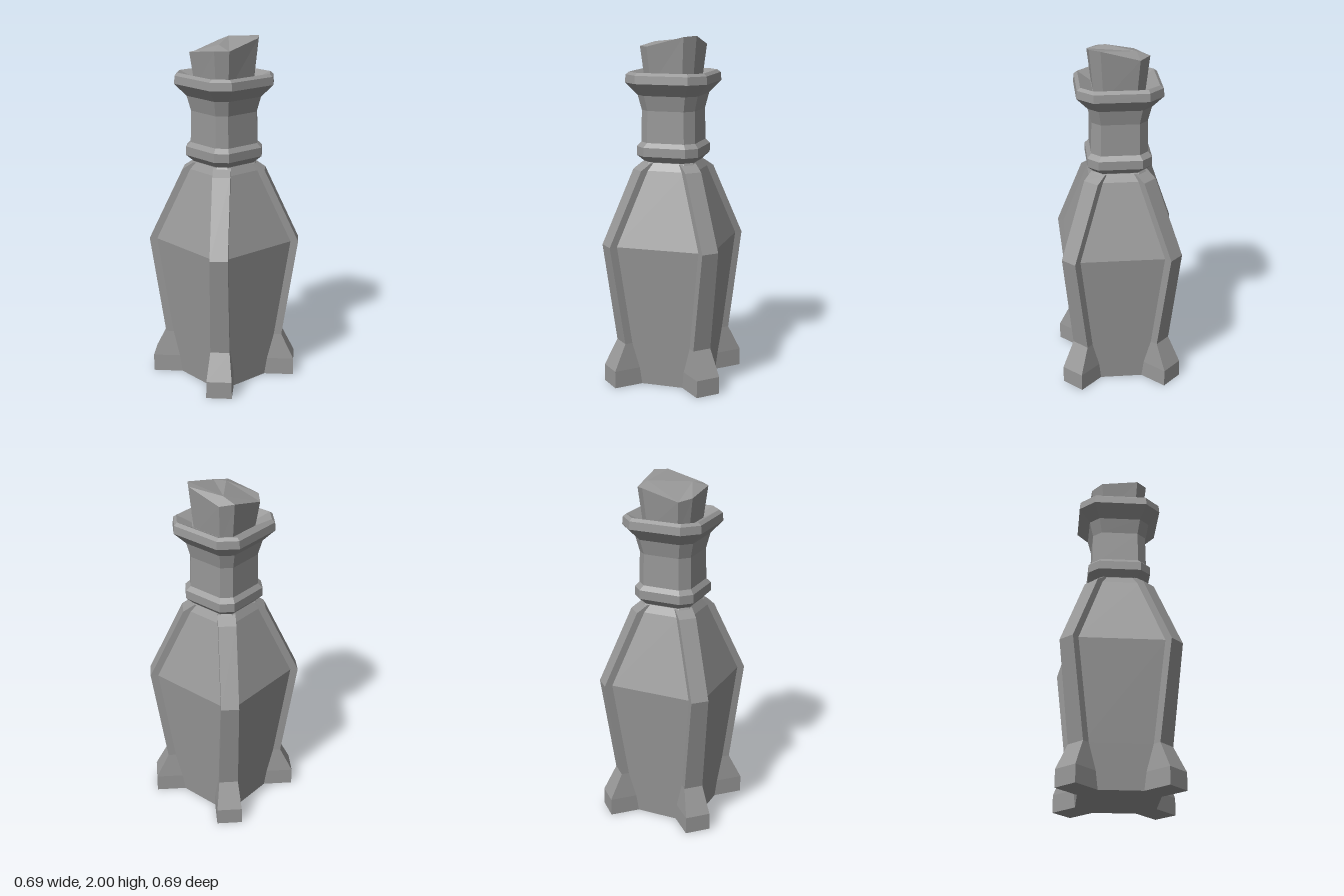
import * as THREE from 'three';

const material = new THREE.MeshStandardMaterial({ color: 0x979797, flatShading: true });

// Skins a stack of rings (each counter-clockwise from above) and caps both ends with fans.
function loft(name, rings) {
  const pos = [];
  const n = rings[0].length;
  const triangle = new THREE.Triangle();
  // Faces collapsed to a line or point are skipped.
  const tri = (...corners) => {
    const [a, b, c] = corners.map((p) => new THREE.Vector3(...p));
    if (triangle.set(a, b, c).getArea() > 1e-7) pos.push(...corners.flat());
  };
  const centre = (ring) => [0, 1, 2].map((k) => ring.reduce((s, p) => s + p[k], 0) / n);
  for (let r = 0; r < rings.length - 1; r++) {
    const lo = rings[r], hi = rings[r + 1];
    for (let i = 0; i < n; i++) {
      const j = (i + 1) % n;
      tri(lo[i], lo[j], hi[j]);
      tri(lo[i], hi[j], hi[i]);
    }
  }
  const first = rings[0], last = rings[rings.length - 1];
  const c0 = centre(first), c1 = centre(last);
  for (let i = 0; i < n; i++) {
    const j = (i + 1) % n;
    tri(c0, first[j], first[i]);
    tri(c1, last[i], last[j]);
  }
  const geometry = new THREE.BufferGeometry();
  geometry.setAttribute('position', new THREE.Float32BufferAttribute(pos, 3));
  geometry.computeVertexNormals();
  const mesh = new THREE.Mesh(geometry, material);
  mesh.name = name;
  return mesh;
}

// Square with cut corners: h is the half width, e the half length of each flat side.
function cutSquare(y, h, e = h * 0.68) {
  return [[h, e], [h, -e], [e, -h], [-e, -h], [-h, -e], [-h, e], [-e, h], [e, h]]
    .map(([x, z]) => [x, y, z]);
}

// Rectangular section of a corner rib, from inside the body out to radius r.
function ribSection([y, r, w]) {
  return [[r, y, w], [r, y, -w], [0.05, y, -w], [0.05, y, w]];
}

export function createModel() {
  const model = new THREE.Group();
  model.name = 'bottle';

  // Faceted body
  model.add(loft('body', [
    cutSquare(0, 0.225, 0.18),
    cutSquare(0.25, 0.25, 0.2),
    cutSquare(0.83, 0.309, 0.25),
    cutSquare(1.25, 0.17, 0.12),
    cutSquare(1.3, 0.14, 0.1),
  ]));

  // Four diagonal corner ribs flaring into feet
  const ribProfile = [
    [0, 0.417, 0.073], [0.1, 0.417, 0.072], [0.25, 0.343, 0.055],
    [0.83, 0.431, 0.05], [1.25, 0.233, 0.05], [1.29, 0.172, 0.05],
  ];
  for (let k = 0; k < 4; k++) {
    const rib = loft('cornerRib', ribProfile.map(ribSection));
    rib.rotation.y = Math.PI / 4 + k * Math.PI / 2;
    model.add(rib);
  }

  // Collar, neck and flared lip with a recessed mouth
  const neckProfile = [
    [1.27, 0.14], [1.295, 0.145], [1.33, 0.18], [1.38, 0.18], [1.405, 0.158],
    [1.585, 0.155], [1.67, 0.175], [1.74, 0.238, 0.152], [1.785, 0.234, 0.15],
    [1.8, 0.215], [1.76, 0.145],
  ];
  model.add(loft('neck', neckProfile.map((p) => cutSquare(...p))));

  // Cork with an uneven cut top, rising to a short slanting ridge
  const corkHeights = [1.94, 1.995, 2.0, 1.945, 1.955, 1.9, 1.915, 1.94];
  const corkTop = cutSquare(0, 0.164, 0.106).map(([x, , z], i) => [x, corkHeights[i], z]);
  const ridgeBack = [-0.09, 1.982, -0.11], ridgeFront = [0.06, 1.965, 0.09];
  const ridge = corkTop.map((_, i) => (i > 0 && i < 6 ? ridgeBack : ridgeFront));
  model.add(loft('cork', [cutSquare(1.72, 0.138, 0.09), corkTop, ridge]));

  return model;
}
